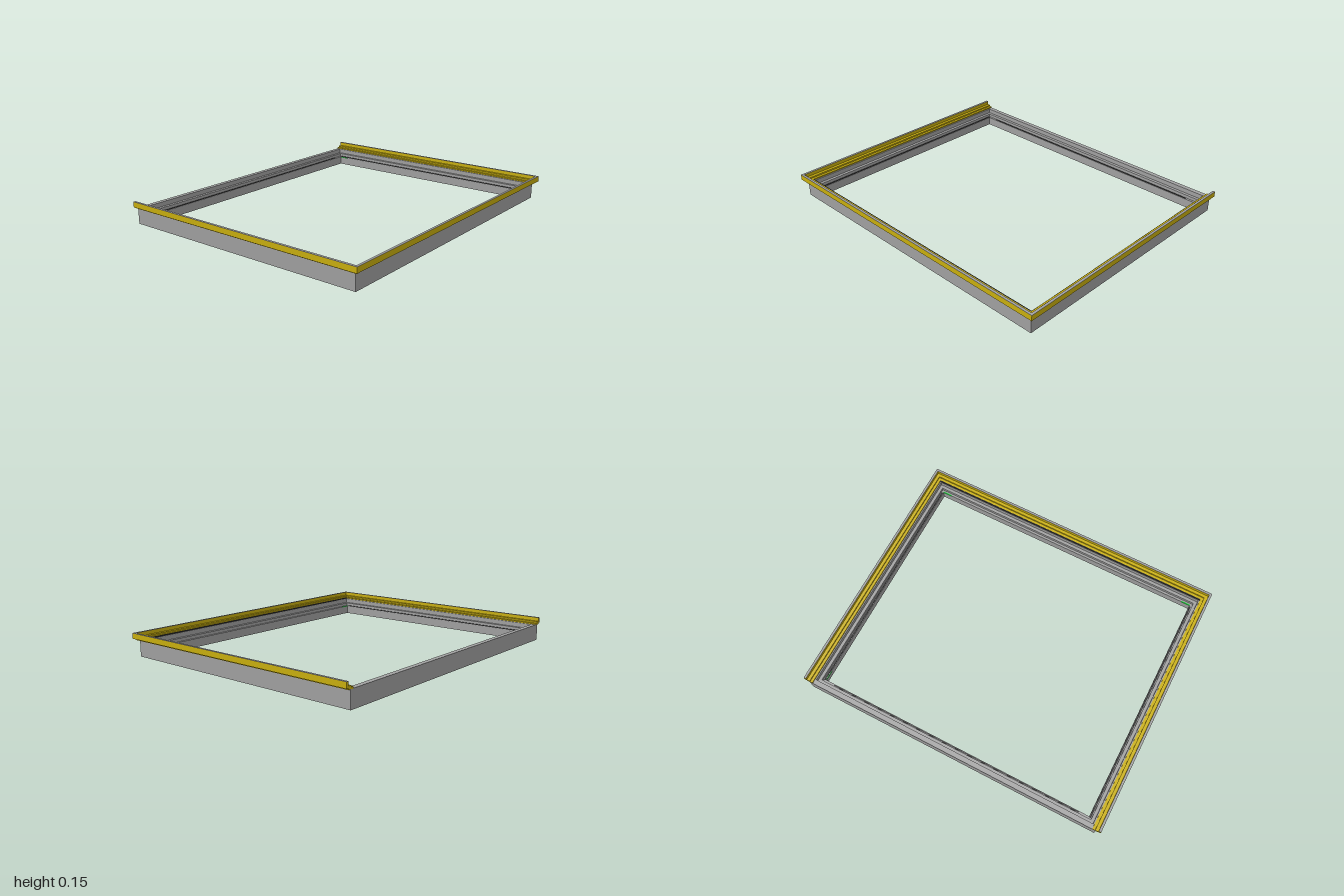
import * as THREE from 'three';

// Outer faces of the base frame
const HALF_X = 0.97, BACK = -0.83, FRONT = 0.80;

// Sweeps a counter-clockwise profile of [outward offset, height] with mitred corners.
// closed: all four sides; otherwise the back is left open and the ends are capped.
function sweep(profile, closed) {
  const pos = [];
  const at = (corner, [o, y]) => {
    const sx = corner < 2 ? -1 : 1;
    const atFront = corner === 1 || corner === 2;
    return [sx * (HALF_X + o), y, atFront ? FRONT + o : closed ? BACK - o : BACK];
  };
  for (let side = 0; side < (closed ? 4 : 3); side++) {
    const next = (side + 1) % 4;
    profile.forEach((p, i) => {
      const q = profile[(i + 1) % profile.length];
      const a = at(side, p), b = at(next, p), c = at(next, q), d = at(side, q);
      pos.push(...a, ...b, ...c, ...a, ...c, ...d);
    });
  }
  if (!closed) {
    const points = profile.map(([o, y]) => new THREE.Vector2(o, y));
    for (const [i, j, k] of THREE.ShapeUtils.triangulateShape(points, [])) {
      for (const v of [i, j, k]) pos.push(...at(0, profile[v]));
      for (const v of [k, j, i]) pos.push(...at(3, profile[v]));
    }
  }
  const geometry = new THREE.BufferGeometry();
  geometry.setAttribute('position', new THREE.Float32BufferAttribute(pos, 3));
  geometry.computeVertexNormals();
  return geometry;
}

export function createModel() {
  const model = new THREE.Group();
  const grey = new THREE.MeshStandardMaterial({ color: 0xa2a2a2 });
  const yellow = new THREE.MeshStandardMaterial({ color: 0xcbb10e });
  const dark = new THREE.MeshStandardMaterial({ color: 0x303030 });
  const green = new THREE.MeshStandardMaterial({ color: 0x20d040 });

  const add = (name, geometry, material, x = 0, y = 0, z = 0) => {
    const mesh = new THREE.Mesh(geometry, material);
    mesh.name = name;
    mesh.position.set(x, y, z);
    model.add(mesh);
  };

  // Base frame, stepping down to a low inner lip
  add('baseFrame', sweep([
    [0, 0], [0, 0.104], [-0.03, 0.104], [-0.03, 0.075],
    [-0.05, 0.075], [-0.05, 0.055], [-0.065, 0.055], [-0.065, 0],
  ], true), grey);

  // Trim rail on front and sides: flat flange with a raised outer lip
  add('trimRail', sweep([
    [-0.022, 0.102], [0.015, 0.102], [0.015, 0.111], [0.03, 0.111], [0.03, 0.144],
    [0.015, 0.144], [0.015, 0.122], [-0.005, 0.122], [-0.005, 0.112], [-0.022, 0.112],
  ], false), yellow);

  // Thin cap along the top of the lip
  add('lipCap', sweep([[0.015, 0.144], [0.03, 0.144], [0.03, 0.146], [0.015, 0.146]], false), grey);

  // Dark seals along the inner lip and the front flange
  for (const side of [-1, 1]) {
    add('sideSeal', new THREE.BoxGeometry(0.008, 0.006, 1.5), dark, side * 0.912, 0.055, -0.022);
  }
  add('backSeal', new THREE.BoxGeometry(1.68, 0.006, 0.007), dark, 0, 0.055, -0.772);
  add('frontSeal', new THREE.BoxGeometry(1.9, 0.008, 0.007), dark, 0, 0.108, 0.776);

  // Small corner clips on the inner lip
  for (const side of [-1, 1]) {
    add('frontClip', new THREE.BoxGeometry(0.06, 0.005, 0.008), green, side * 0.875, 0.054, 0.737);
  }
  add('sideClip', new THREE.BoxGeometry(0.006, 0.005, 0.06), green, 0.904, 0.052, -0.73);

  return model;
}
